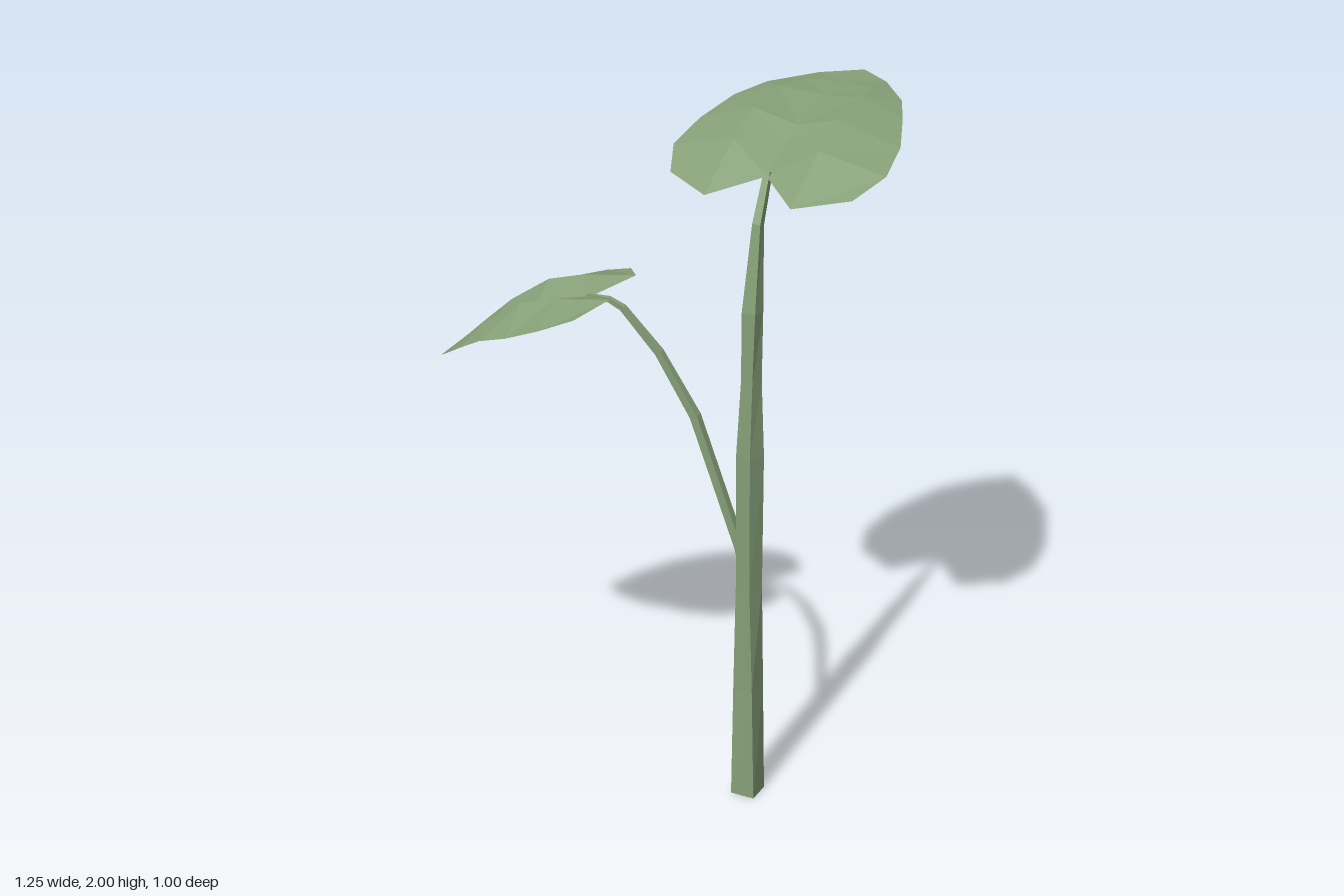
import * as THREE from 'three';

const green = new THREE.MeshStandardMaterial({ color: 0x86a078, flatShading: true, side: THREE.DoubleSide });

function makeMesh(name, points, index) {
  const indexed = new THREE.BufferGeometry();
  indexed.setAttribute('position', new THREE.Float32BufferAttribute(points, 3));
  indexed.setIndex(index);
  const geometry = indexed.toNonIndexed();
  geometry.computeVertexNormals();
  const mesh = new THREE.Mesh(geometry, green);
  mesh.name = name;
  return mesh;
}

// Square stalk through sections of [x, y, z, halfWidth, twist]
function makeStalk(name, sections) {
  const centres = sections.map(([x, y, z]) => new THREE.Vector3(x, y, z));
  const front = new THREE.Vector3(0, 0, 1);
  const points = [], index = [];
  const last = sections.length - 1;
  sections.forEach(([, , , half, twist = 0], i) => {
    const along = centres[Math.min(i + 1, last)].clone().sub(centres[Math.max(i - 1, 0)]).normalize();
    if (i === 0 && name === 'stem') along.set(0, 1, 0);
    const u = along.clone().cross(front).normalize();
    const v = u.clone().cross(along);
    for (let k = 0; k < 4; k++) {
      const a = Math.PI / 4 + k * Math.PI / 2 + twist;
      const p = centres[i].clone()
        .addScaledVector(u, half * Math.SQRT2 * Math.cos(a))
        .addScaledVector(v, half * Math.SQRT2 * Math.sin(a));
      points.push(p.x, p.y, p.z);
      if (i < last) {
        const n = i * 4 + (k + 1) % 4, c = i * 4 + k;
        index.push(c, c + 4, n, n, c + 4, n + 4);
      }
    }
  });
  const t = last * 4;
  index.push(0, 1, 2, 0, 2, 3, t, t + 2, t + 1, t, t + 3, t + 2); // end caps
  return makeMesh(name, points, index);
}

// Heart-shaped leaf; origin at the notch, tip towards -z.
// Each row: midrib [y, z], fold ridge [x, y, z], rim [x, y, z]
const leafRows = [
  [[0, 0], [0.125, -0.035, 0.118], [0.265, -0.015, 0.04]],
  [[0.055, -0.12], [0.125, 0.072, -0.055], [0.312, 0.025, -0.07]],
  [[0.09, -0.19], [0.125, 0.125, -0.175], [0.297, 0.065, -0.2]],
  [[0.122, -0.375], [0.125, 0.14, -0.345], [0.252, 0.105, -0.32]],
  [[0.125, -0.51], [0.1, 0.134, -0.46], [0.203, 0.12, -0.43]],
  [[0.125, -0.645], [0.102, 0.126, -0.56], [0.102, 0.126, -0.56]],
];

function makeLeaf(name) {
  const points = [], index = [];
  leafRows.forEach(([mid, ridge, rim], r) => {
    points.push(-rim[0], rim[1], rim[2], -ridge[0], ridge[1], ridge[2], 0, mid[0], mid[1], ...ridge, ...rim);
    if (r === leafRows.length - 1) return;
    for (let c = 0; c < 4; c++) {
      const a = r * 5 + c, b = a + 1, d = a + 5, e = a + 6;
      // diagonals mirror about the midrib
      if (c < 2) index.push(a, b, d, b, e, d);
      else index.push(a, b, e, a, e, d);
    }
  });
  return makeMesh(name, points, index);
}

export function createModel() {
  const plant = new THREE.Group();
  plant.name = 'plant';

  plant.add(makeStalk('stem', [
    [0.308, 0, 0.208, 0.036],
    [0.308, 0.35, 0.212, 0.031, 0.1],
    [0.31, 0.68, 0.219, 0.026, 0.3],
    [0.308, 1.08, 0.217, 0.027, 0.35],
    [0.308, 1.3, 0.214, 0.02, 0.25],
    [0.308, 1.5, 0.212, 0.021, 0.1],
    [0.308, 1.74, 0.184, 0.012],
    [0.31, 1.87, 0.13, 0.009],
  ]));

  // Side stalk arching out to the lower leaf
  plant.add(makeStalk('branch', [
    [0.29, 0.67, 0.19, 0.01],
    [0.268, 0.78, 0.193, 0.012],
    [0.135, 1.16, 0.208, 0.012],
    [0.03, 1.335, 0.22, 0.01],
    [-0.075, 1.452, 0.233, 0.008],
    [-0.115, 1.472, 0.239, 0.007],
    [-0.18, 1.475, 0.246, 0.005],
  ]));

  const topLeaf = makeLeaf('topLeaf');
  topLeaf.position.set(0.31, 1.86, 0.14);
  plant.add(topLeaf);

  const lowerLeaf = makeLeaf('lowerLeaf');
  lowerLeaf.scale.setScalar(0.8);
  lowerLeaf.rotation.set(-0.67, 1.69, 0, 'YXZ');
  lowerLeaf.position.set(-0.165, 1.475, 0.245);
  plant.add(lowerLeaf);

  return plant;
}
